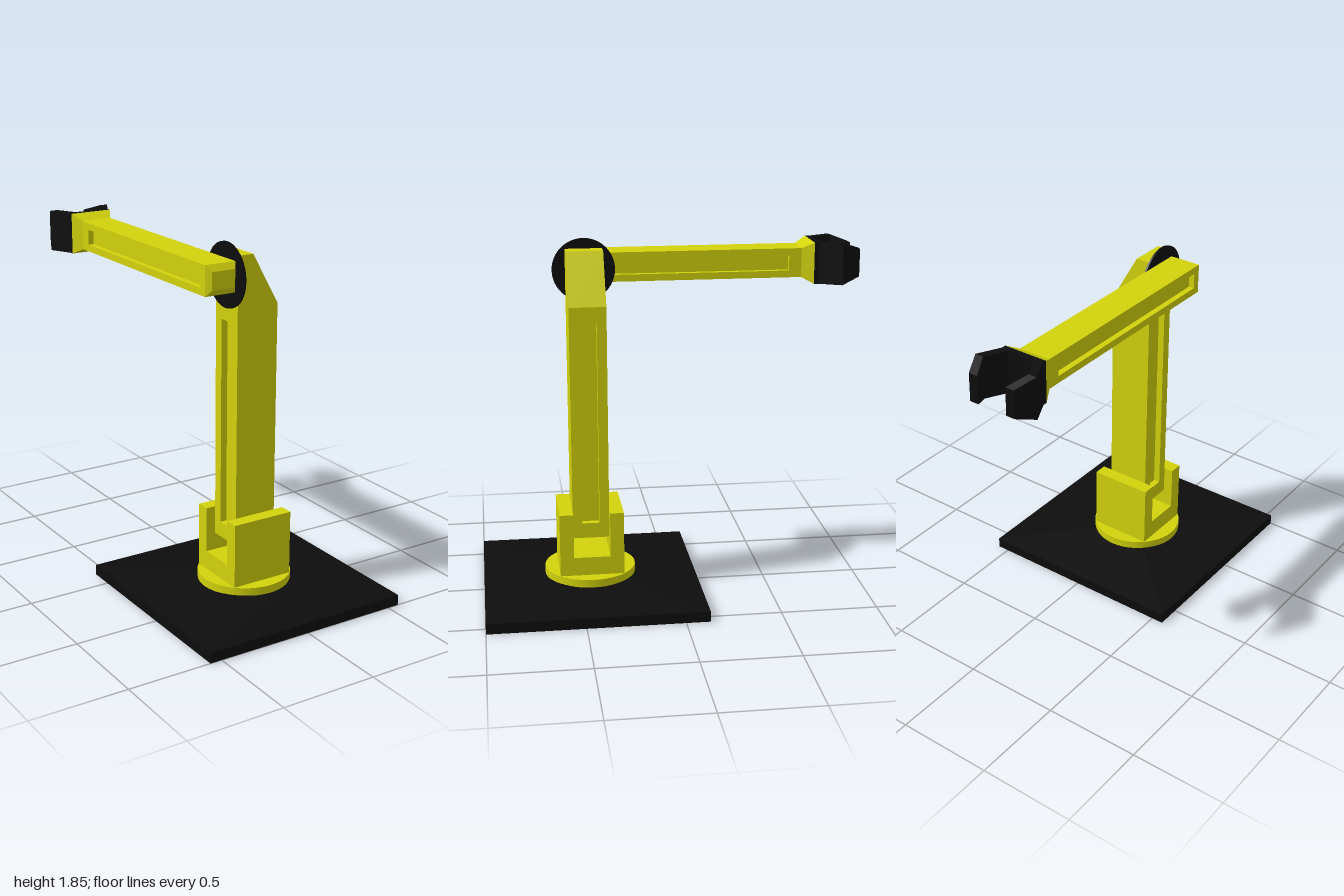
import * as THREE from 'three';

const yellow = new THREE.MeshStandardMaterial({ color: 0xd2d20c, flatShading: true });
const black = new THREE.MeshStandardMaterial({ color: 0x0d0d0d, flatShading: true });
const smoothYellow = new THREE.MeshStandardMaterial({ color: 0xd2d20c });

// Extrude a closed outline of [x, y] points along +z
function extrude(points, depth) {
  const shape = new THREE.Shape(points.map(([x, y]) => new THREE.Vector2(x, y)));
  return new THREE.ExtrudeGeometry(shape, { depth, bevelEnabled: false });
}

// Beam section along z with a groove in both x sides
function groovedBeam(w, h, slot, deep, length) {
  const x = w / 2, y = h / 2, s = slot / 2, i = x - deep;
  return extrude([[-x, -y], [x, -y], [x, -s], [i, -s], [i, s], [x, s],
    [x, y], [-x, y], [-x, s], [-i, s], [-i, -s], [-x, -s]], length);
}

// Box along z whose +z end has its own size
function taper(w0, h0, w1, h1, length) {
  const geo = new THREE.BoxGeometry(w0, h0, length);
  const p = geo.attributes.position;
  for (let i = 0; i < p.count; i++) {
    if (p.getZ(i) > 0) p.setXY(i, p.getX(i) * w1 / w0, p.getY(i) * h1 / h0);
  }
  geo.computeVertexNormals();
  return geo;
}

export function createModel() {
  const model = new THREE.Group();
  const add = (parent, name, geo, mat, x = 0, y = 0, z = 0) => {
    const mesh = new THREE.Mesh(geo, mat);
    mesh.name = name;
    mesh.position.set(x, y, z);
    parent.add(mesh);
    return mesh;
  };
  const Z = 0.438; // axis of base, column and elbow

  // Base plate with a shallow pyramid top, and the turntable
  const base = new THREE.Group();
  base.name = 'base';
  add(base, 'basePlate', new THREE.BoxGeometry(1.124, 0.055, 1.124), black, 0, 0.0275, Z);
  add(base, 'basePlateTop', taper(1.124, 1.124, 0.4, 0.4, 0.027).rotateX(-Math.PI / 2), black, 0, 0.0685, Z);
  add(base, 'turntable', new THREE.CylinderGeometry(0.238, 0.238, 0.042, 48), smoothYellow, 0, 0.101, Z);

  // U-shaped shoulder bracket, slot running along x
  const u = [[-0.167, 0.12], [0.167, 0.12], [0.167, 0.457], [0.095, 0.457],
    [0.095, 0.22], [-0.095, 0.22], [-0.095, 0.457], [-0.167, 0.457]];
  add(base, 'shoulderBracket', extrude(u, 0.334).translate(0, 0, -0.167).rotateY(Math.PI / 2), yellow, 0, 0, Z);
  model.add(base);

  // Column: foot block, grooved length and sloped head
  const column = new THREE.Group();
  column.name = 'column';
  add(column, 'columnFoot', new THREE.BoxGeometry(0.23, 0.08, 0.19), yellow, 0, 0.35, Z);
  add(column, 'columnBeam', groovedBeam(0.23, 0.19, 0.09, 0.035, 1.065).rotateX(-Math.PI / 2), yellow, 0, 0.39, Z);
  const head = [[-0.115, 1.455], [0.115, 1.455], [0.115, 1.535], [-0.03, 1.793], [-0.115, 1.793]];
  add(column, 'columnHead', extrude(head, 0.19), yellow, 0, 0, Z - 0.095);
  model.add(column);

  // Thin elbow disc between column and arm
  add(model, 'elbowDisc', new THREE.CylinderGeometry(0.162, 0.162, 0.01, 48).rotateZ(Math.PI / 2),
    new THREE.MeshStandardMaterial({ color: 0x0d0d0d }), -0.118, 1.683, Z);

  // Forearm reaching backwards, with chamfered end and flared wrist
  const arm = new THREE.Group();
  arm.name = 'forearm';
  arm.position.set(-0.206, 1.691, 0);
  add(arm, 'armEnd', taper(0.168, 0.152, 0.126, 0.09, 0.025), yellow, 0, 0, 0.5325);
  add(arm, 'armRearBlock', new THREE.BoxGeometry(0.168, 0.152, 0.04), yellow, 0, 0, 0.5);
  add(arm, 'armBeam', groovedBeam(0.168, 0.152, 0.08, 0.03, 1.115), yellow, 0, 0, -0.635);
  add(arm, 'armFrontBlock', new THREE.BoxGeometry(0.168, 0.152, 0.065), yellow, 0, 0, -0.6675);
  add(arm, 'wrist', taper(0.232, 0.216, 0.168, 0.152, 0.062), yellow, 0, 0, -0.731);

  // Gripper: mounting plate and two mirrored bent fingers
  const gripper = new THREE.Group();
  gripper.name = 'gripper';
  add(gripper, 'gripperPlate', new THREE.BoxGeometry(0.232, 0.216, 0.032), black, 0, 0, -0.778);
  const plan = [[0.116, 0.785], [0.174, 0.9], [0.13, 0.9], [0.07, 0.785]];
  const tip = [[0.174, 0.9], [0.128, 1], [0.08, 1], [0.13, 0.9]];
  for (const side of [1, -1]) {
    const mirrored = (pts) => pts.map(([x, z]) => [x * side, z]);
    const name = side > 0 ? 'left' : 'right';
    add(gripper, name + 'FingerRoot',
      extrude(mirrored(plan), 0.216).translate(0, 0, -0.108).rotateX(-Math.PI / 2), black);
    // fingertip narrows in height towards its end
    const geo = extrude(mirrored(tip), 0.216).translate(0, 0, -0.108).rotateX(-Math.PI / 2);
    const p = geo.attributes.position;
    for (let i = 0; i < p.count; i++) if (p.getZ(i) < -0.95) p.setY(i, p.getY(i) * 0.67);
    geo.computeVertexNormals();
    add(gripper, name + 'FingerTip', geo, black);
  }
  arm.add(gripper);
  model.add(arm);
  return model;
}
